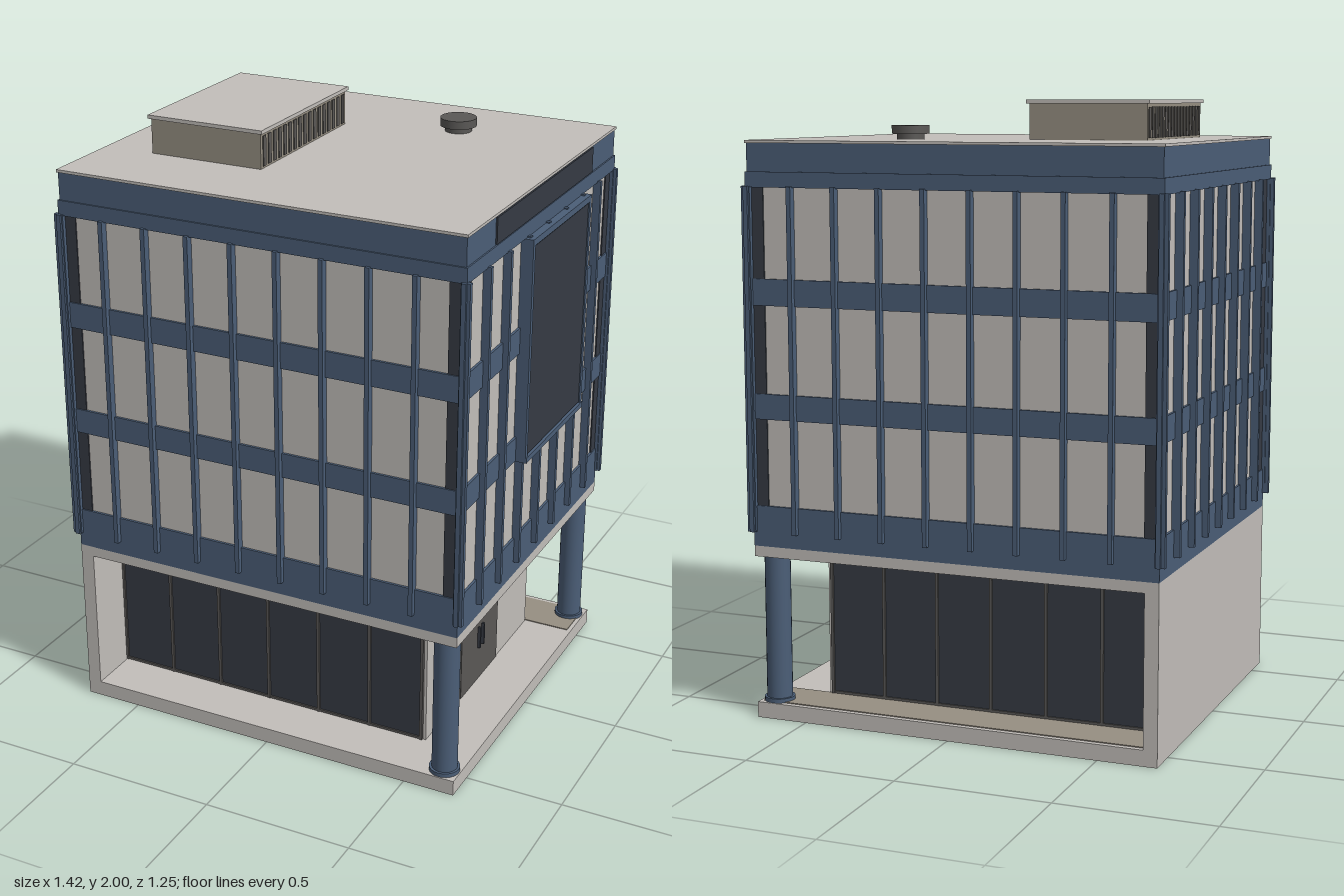
import * as THREE from 'three';

const material = (name, color) => {
  const m = new THREE.MeshStandardMaterial({ color });
  m.name = name;
  return m;
};

export function createModel() {
  const pale = material('pale concrete', 0xc2beba);
  const blue = material('blue cladding', 0x4b5e77);
  const dark = material('charcoal glass', 0x363b44);
  const grey = material('dark grey metal', 0x5a5856);
  const tan = material('tan panel', 0x968f82);

  const root = new THREE.Group();
  root.name = 'officeBuilding';

  const group = (name) => {
    const g = new THREE.Group();
    g.name = name;
    root.add(g);
    return g;
  };
  // Box given by its limits on each axis
  const box = (name, mat, [x0, x1], [y0, y1], [z0, z1], parent = root) => {
    const mesh = new THREE.Mesh(new THREE.BoxGeometry(x1 - x0, y1 - y0, z1 - z0), mat);
    mesh.position.set((x0 + x1) / 2, (y0 + y1) / 2, (z0 + z1) / 2);
    mesh.name = name;
    parent.add(mesh);
    return mesh;
  };
  const cylinder = (name, mat, r, [y0, y1], x, z, parent = root, sides = 24) => {
    const mesh = new THREE.Mesh(new THREE.CylinderGeometry(r, r, y1 - y0, sides), mat);
    mesh.position.set(x, (y0 + y1) / 2, z);
    mesh.name = name;
    parent.add(mesh);
    return mesh;
  };

  // Outline of the building
  const L = -0.694, R = 0.674, D = 0.608;
  const around = (name, mat, y, out, parent) =>
    box(name, mat, [L - out, R + out], y, [-D - out, D + out], parent);

  // Ground storey
  around('baseSlab', pale, [0, 0.052], 0);
  box('backPaving', tan, [-0.65, 0.66], [0.052, 0.055], [-0.59, -0.435]);
  box('solidSideWall', pale, [L, -0.648], [0.052, 0.545], [-D, D]);
  box('lobbyCore', pale, [-0.648, 0.498], [0.052, 0.545], [-0.432, 0.432]);
  around('soffitSlab', pale, [0.54, 0.575], 0);

  // Shop windows on the front and back of the lobby
  const shop = group('shopWindows');
  for (const s of [-1, 1]) {
    const zSpan = (a, b) => (s > 0 ? [a, b] : [-b, -a]);
    box('shopGlass', dark, [-0.645, 0.482], [0.056, 0.53], zSpan(0.43, 0.436), shop);
    for (let i = 0; i <= 6; i++) {
      const x = -0.645 + i * 0.188;
      box('shopMullion', grey, [x - 0.005, x + 0.005], [0.054, 0.532], zSpan(0.43, 0.442), shop);
    }
    for (const y of [0.055, 0.526]) {
      box('shopRail', grey, [-0.645, 0.483], [y, y + 0.008], zSpan(0.43, 0.441), shop);
    }
  }

  // Entrance in the sheltered side
  box('entranceDoor', grey, [0.496, 0.501], [0.052, 0.415], [-0.155, 0.155]);
  for (const z of [-0.016, 0.016]) {
    box('doorHandle', dark, [0.501, 0.511], [0.18, 0.26], [z - 0.004, z + 0.004]);
  }

  // Corner columns and soffit lights
  for (const s of [-1, 1]) {
    cylinder('cornerColumn', blue, 0.042, [0.052, 0.542], 0.62, s * 0.555);
    cylinder('columnCollar', blue, 0.05, [0.052, 0.066], 0.62, s * 0.555);
    for (const z of [0.28, 0.46]) {
      cylinder('soffitLight', grey, 0.013, [0.535, 0.541], 0.59, s * z, root, 12);
    }
  }

  // Upper storeys: pale panes, dark corner glass and blue floor bands
  const upper = group('upperStoreys');
  around('windowPanes', pale, [0.57, 1.75], -0.008, upper);
  for (const x of [[L - -0.004, L + 0.05], [R - 0.052, R - 0.004]]) {
    for (const z of [[-D + 0.004, -D + 0.05], [D - 0.05, D - 0.004]]) {
      box('cornerGlass', dark, x, [0.7, 1.735], z, upper);
    }
  }
  around('lowerBand', blue, [0.575, 0.708], 0, upper);
  around('floorBand', blue, [0.99, 1.072], 0, upper);
  around('floorBand', blue, [1.355, 1.44], 0, upper);

  // Vertical fins on all four sides
  const fins = group('facadeFins');
  const finY = [0.622, 1.732];
  const w = 0.0075;
  for (let i = 0; i < 10; i++) {
    const x = -0.694 + i * 0.152;
    box('backFin', blue, [x - w, x + w], finY, [-0.625, -0.598], fins);
    box('frontFin', blue, [x - w, x + w], finY, [0.598, 0.625], fins);
  }
  for (let i = 0; i < 9; i++) {
    const z = (i - 4) * 0.1525;
    box('rightFin', blue, [R - 0.012, 0.692], finY, [z - w, z + w], fins);
    box('leftFin', blue, [-0.714, L + 0.012], finY, [z - w, z + w], fins);
  }

  // Cornice, parapet and roof
  around('cornice', blue, [1.728, 1.777], 0.006);
  around('parapet', blue, [1.777, 1.866], 0.001);
  around('roofSlab', pale, [1.866, 1.875], 0.005);
  box('parapetPanel', dark, [R, R + 0.006], [1.78, 1.862], [-0.395, 0.4]);

  // Large display on the side facade
  const display = group('sideDisplay');
  box('displayBacking', blue, [R - 0.01, 0.698], [0.988, 1.728], [-0.325, 0.175], display);
  box('displayScreen', dark, [0.698, 0.704], [1.01, 1.703], [-0.305, 0.155], display);
  for (const z of [[-0.325, -0.308], [0.158, 0.175]]) {
    box('displayFrame', blue, [0.698, 0.707], [0.988, 1.728], z, display);
  }
  for (const y of [[0.988, 1.006], [1.707, 1.728]]) {
    box('displayFrame', blue, [0.698, y[0] < 1 ? 0.711 : 0.707], y, [-0.325, 0.175], display);
  }

  // Rooftop plant room with louvred ends
  const plant = group('plantRoom');
  box('plantWalls', tan, [-0.525, -0.135], [1.875, 1.988], [-0.242, 0.332], plant);
  box('plantCap', pale, [-0.533, -0.127], [1.988, 2], [-0.25, 0.34], plant);
  for (let i = 0; i < 17; i++) {
    const z = 0.31 - i * 0.0332;
    for (const x of [-0.525, -0.135]) {
      box('louvreSlot', grey, [x - 0.003, x + 0.003], [1.882, 1.978], [z - 0.009, z + 0.009], plant);
    }
  }

  // Round roof vent
  cylinder('ventStem', grey, 0.044, [1.875, 1.893], 0.232, -0.338);
  cylinder('ventCap', grey, 0.06, [1.893, 1.92], 0.232, -0.338);

  return root;
}
